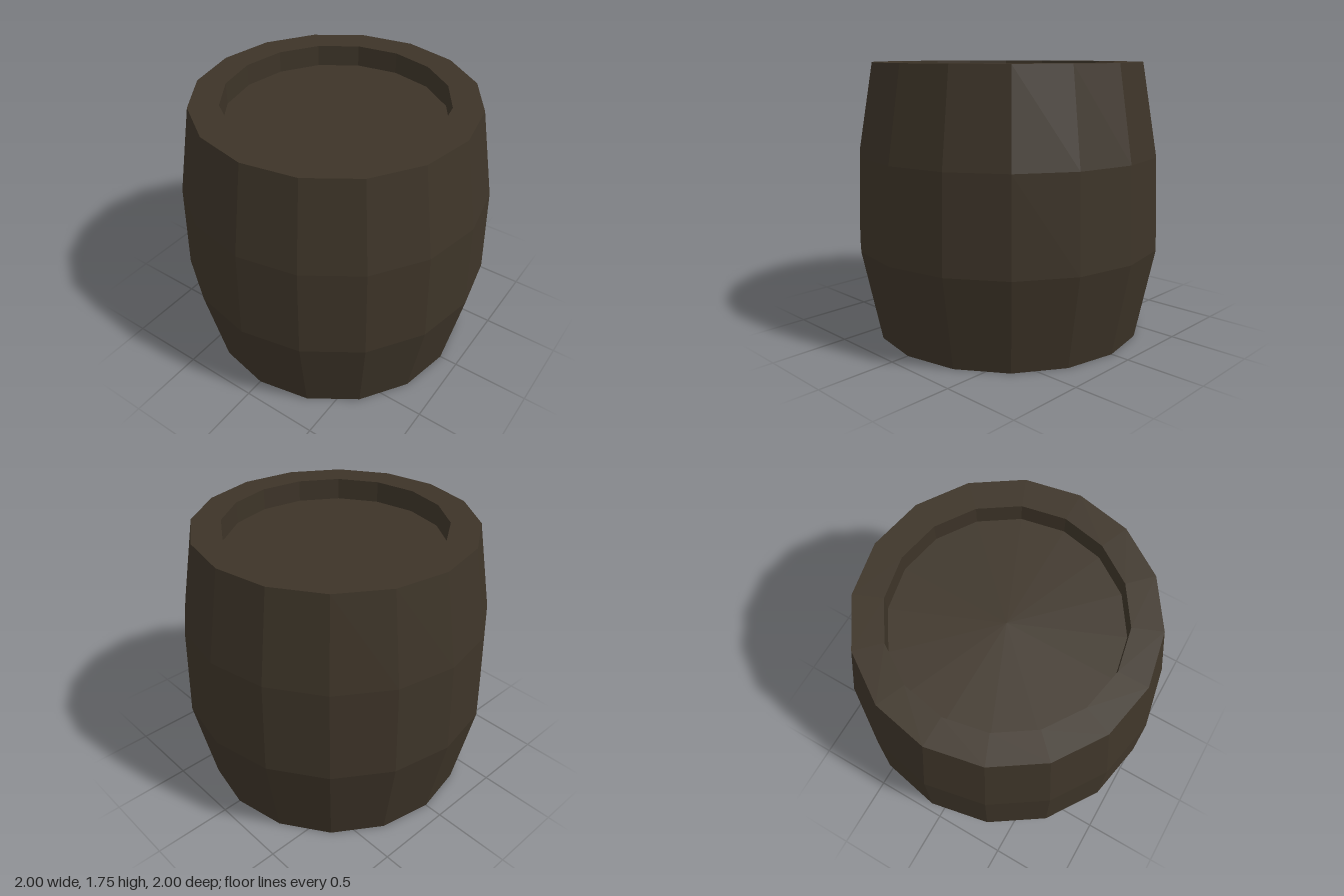
import * as THREE from 'three';

const SIDES = 16;
const HEIGHT = 1.755;
const RIM = 0.88;      // outer radius at both ends
const INNER = 0.695;   // radius of the recessed heads
const RECESS = 0.14;   // depth of the recesses

export function createModel() {
  const barrel = new THREE.Group();
  barrel.name = 'barrel';

  const darkWood = new THREE.MeshStandardMaterial({ color: 0x3d3428, flatShading: true });
  darkWood.name = 'darkWood';

  // Sixteen-sided turned part from a profile of [radius, height] points
  const turned = (name, profile) => {
    const points = profile.map(([r, y]) => new THREE.Vector2(r, y));
    const mesh = new THREE.Mesh(new THREE.LatheGeometry(points, SIDES), darkWood);
    mesh.name = name;
    barrel.add(mesh);
  };

  // Bulging staves with flat rims and the walls of both recesses
  turned('staves', [
    [INNER, RECESS], [INNER, 0], [RIM, 0],
    [1, 0.59], [0.98, 1.18],
    [RIM, HEIGHT], [INNER, HEIGHT], [INNER, HEIGHT - RECESS],
  ]);

  // Sunken heads closing the two ends
  turned('bottomHead', [[0, RECESS], [INNER, RECESS]]);
  turned('topHead', [[INNER, HEIGHT - RECESS], [0, HEIGHT - RECESS]]);

  return barrel;
}
